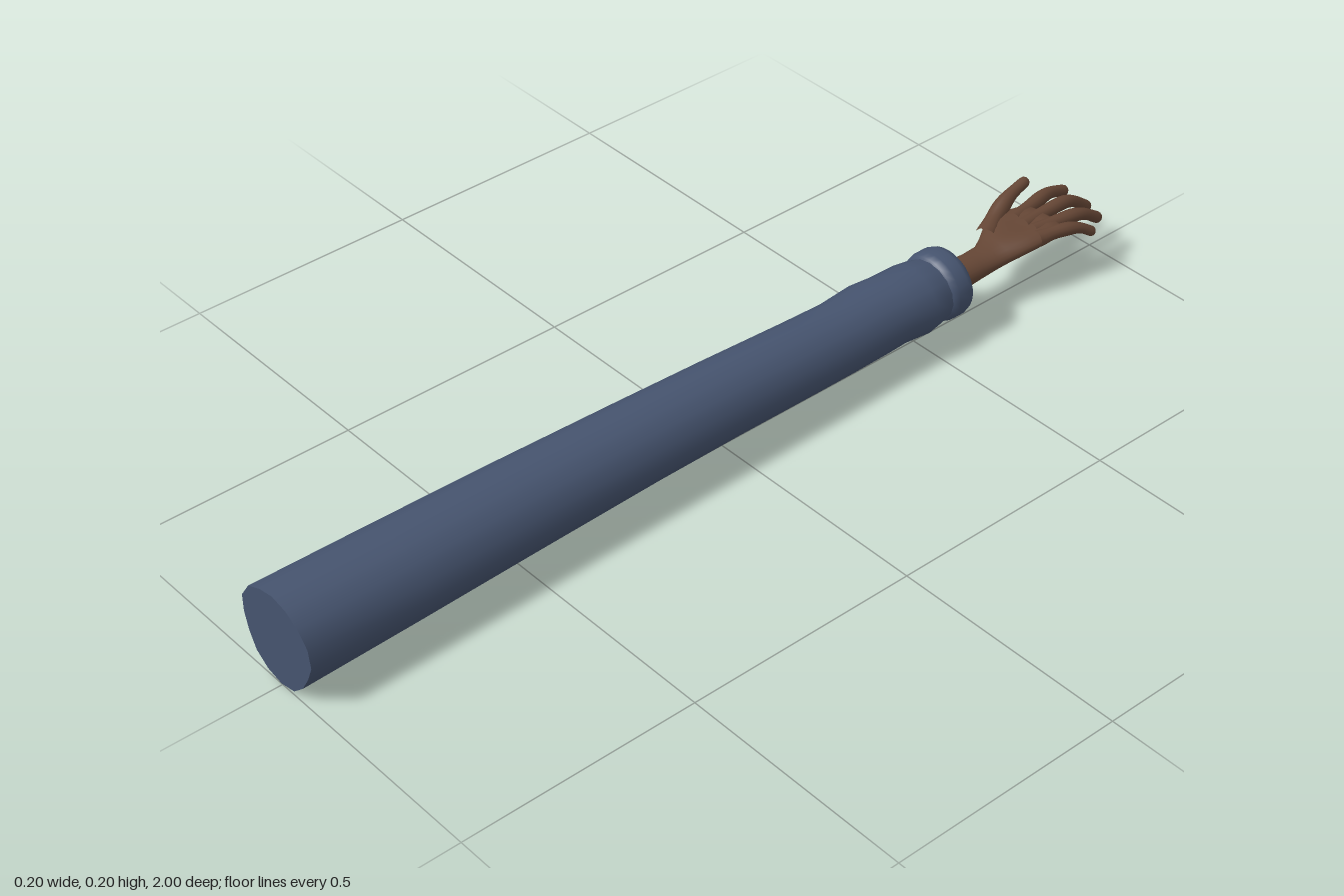
import * as THREE from 'three';

const sleeveCloth = new THREE.MeshStandardMaterial({ color: 0x46546f });
sleeveCloth.name = 'sleeveCloth';
const skin = new THREE.MeshStandardMaterial({ color: 0x654635 });
skin.name = 'skin';

// Joins closed cross-sections (counter-clockwise seen from the start) into a smooth skin
function loft(rings, capEnd = false) {
  const n = rings[0].length, pos = [], idx = [];
  rings.forEach(r => r.forEach(p => pos.push(p.x, p.y, p.z)));
  for (let i = 0; i < rings.length - 1; i++) {
    for (let j = 0; j < n; j++) {
      const a = i * n + j, b = i * n + (j + 1) % n;
      idx.push(a, a + n, b, b, a + n, b + n);
    }
  }
  if (capEnd) {
    const last = rings[rings.length - 1], base = (rings.length - 1) * n;
    const c = last.reduce((s, p) => s.add(p), new THREE.Vector3()).divideScalar(n);
    pos.push(c.x, c.y, c.z);
    for (let j = 0; j < n; j++) idx.push(base + j, rings.length * n, base + (j + 1) % n);
  }
  const g = new THREE.BufferGeometry();
  g.setAttribute('position', new THREE.Float32BufferAttribute(pos, 3));
  g.setIndex(idx);
  g.computeVertexNormals();
  return g;
}

// Elliptical cross-section filling a box at depth z
function oval([z, x0, x1, y0, y1], n = 20) {
  return Array.from({ length: n }, (_, j) => {
    const a = j / n * Math.PI * 2;
    return new THREE.Vector3((x0 + x1) / 2 + Math.cos(a) * (x1 - x0) / 2,
      (y0 + y1) / 2 + Math.sin(a) * (y1 - y0) / 2, z);
  });
}

// Tapered, round-tipped finger along a curve
function finger(points, r0, r1) {
  const curve = new THREE.CatmullRomCurve3(points.map(p => new THREE.Vector3(...p)));
  const steps = 18, n = 12, rings = [], length = curve.getLength();
  for (let i = 0; i <= steps; i++) {
    const t = 1 - Math.pow(1 - i / steps, 1.5);
    const c = curve.getPointAt(t), d = curve.getTangentAt(t);
    const side = new THREE.Vector3().crossVectors(d, new THREE.Vector3(0, 1, 0)).normalize();
    const up = new THREE.Vector3().crossVectors(side, d);
    const tip = Math.min(1, (1 - t) * length / r1);
    const knuckle = 1 + 0.06 * Math.cos(t * Math.PI * 4);
    const r = Math.max(0.0008, (r0 + (r1 - r0) * t) * knuckle * Math.sqrt(1 - (1 - tip) ** 2));
    rings.push(Array.from({ length: n }, (_, j) => {
      const a = j / n * Math.PI * 2;
      return c.clone().addScaledVector(side, Math.cos(a) * r).addScaledVector(up, Math.sin(a) * r);
    }));
  }
  return loft(rings, true);
}

export function createModel() {
  const model = new THREE.Group();
  const add = (name, geometry, material, parent = model) => {
    const m = new THREE.Mesh(geometry, material);
    m.name = name;
    parent.add(m);
    return m;
  };

  // Slightly irregular outline of the sleeve at the shoulder
  const outline = [[0.098, 0.104], [0.092, 0.142], [0.066, 0.172], [0.035, 0.191], [-0.003, 0.199],
    [-0.04, 0.192], [-0.076, 0.176], [-0.1, 0.141], [-0.1, 0.104], [-0.09, 0.067], [-0.073, 0.033],
    [-0.042, 0.011], [-0.003, 0.002], [0.035, 0.01], [0.064, 0.036], [0.084, 0.07]];

  // Sleeve: depth, left-right limits, bottom-top limits; blends from the outline to an oval
  const sections = [[1, -0.1, 0.098, 0.002, 0.199], [0.75, -0.098, 0.092, 0.009, 0.197],
    [0.5, -0.095, 0.085, 0.017, 0.194], [0.2, -0.088, 0.078, 0.027, 0.189],
    [0, -0.083, 0.075, 0.031, 0.185], [-0.2, -0.079, 0.072, 0.031, 0.178],
    [-0.3, -0.08, 0.07, 0.031, 0.173], [-0.38, -0.085, 0.069, 0.031, 0.177],
    [-0.43, -0.079, 0.071, 0.038, 0.176], [-0.49, -0.077, 0.075, 0.034, 0.178],
    [-0.525, -0.074, 0.069, 0.039, 0.172], [-0.55, -0.07, 0.062, 0.044, 0.166]];
  add('sleeve', loft(sections.map(s => {
    const [z, x0, x1, y0, y1] = s, k = (1 - z) / 1.55, o = oval(s, 16);
    return outline.map(([x, y], j) => new THREE.Vector3(
      x0 + (x + 0.1) / 0.198 * (x1 - x0), y0 + (y - 0.002) / 0.197 * (y1 - y0), z).lerp(o[j], k));
  })), sleeveCloth);

  // Flat end of the sleeve
  const end = new THREE.ShapeGeometry(new THREE.Shape(outline.map(p => new THREE.Vector2(...p))));
  add('sleeveEnd', end.translate(0, 0, 1), sleeveCloth);

  // Rolled cuff with a recessed opening: depth and inset from the widest outline
  const roll = [[-0.535, 0.016], [-0.541, 0.004], [-0.555, 0], [-0.58, 0], [-0.592, 0.004],
    [-0.6, 0.014], [-0.598, 0.026], [-0.588, 0.034], [-0.57, 0.037], [-0.555, 0.04], [-0.55, 0.055]];
  add('cuff', loft(roll.map(([z, d]) => oval([z, -0.081 + d, 0.07 - d, 0.033 + d, 0.177 - d], 28)), true),
    sleeveCloth);

  // Hand, palm up
  const hand = new THREE.Group();
  hand.name = 'hand';
  model.add(hand);
  const palm = [[-0.54, -0.042, 0.03, 0.066, 0.134], [-0.6, -0.041, 0.03, 0.07, 0.132],
    [-0.66, -0.039, 0.029, 0.077, 0.129], [-0.7, -0.04, 0.031, 0.083, 0.129],
    [-0.725, -0.052, 0.037, 0.088, 0.135], [-0.75, -0.067, 0.045, 0.093, 0.142],
    [-0.78, -0.077, 0.052, 0.098, 0.148], [-0.81, -0.074, 0.055, 0.103, 0.149],
    [-0.835, -0.067, 0.056, 0.108, 0.148], [-0.855, -0.06, 0.053, 0.114, 0.145],
    [-0.865, -0.05, 0.045, 0.121, 0.138]];
  const palmGeometry = loft(palm.map(s => oval(s, 24)), true);
  // Hollow the middle of the palm
  const p = palmGeometry.attributes.position;
  for (let i = 0; i < p.count; i++) {
    if (p.getY(i) > 0.13 && p.getZ(i) < -0.73) {
      const d = ((p.getX(i) + 0.008) / 0.03) ** 2 + ((p.getZ(i) + 0.8) / 0.04) ** 2;
      p.setY(i, p.getY(i) - 0.013 * Math.exp(-d));
    }
  }
  palmGeometry.computeVertexNormals();
  add('palmAndWrist', palmGeometry, skin, hand);

  const fingers = {
    indexFinger: [[-0.04, 0.128, -0.81], [-0.05, 0.131, -0.87], [-0.058, 0.132, -0.925], [-0.062, 0.112, -0.985]],
    middleFinger: [[-0.012, 0.128, -0.81], [-0.014, 0.133, -0.875], [-0.013, 0.13, -0.94], [-0.011, 0.09, -1.0]],
    ringFinger: [[0.015, 0.128, -0.81], [0.023, 0.131, -0.87], [0.031, 0.126, -0.93], [0.035, 0.094, -0.983]],
    littleFinger: [[0.036, 0.126, -0.8], [0.047, 0.129, -0.85], [0.058, 0.122, -0.895], [0.068, 0.1, -0.932]],
  };
  for (const [name, path] of Object.entries(fingers)) {
    add(name, finger(path, 0.0165, name === 'littleFinger' ? 0.01 : 0.0115), skin, hand);
  }
  add('thumb', finger([[-0.042, 0.12, -0.735], [-0.068, 0.136, -0.79], [-0.08, 0.153, -0.835],
    [-0.086, 0.167, -0.893]], 0.023, 0.0105), skin, hand);

  return model;
}
